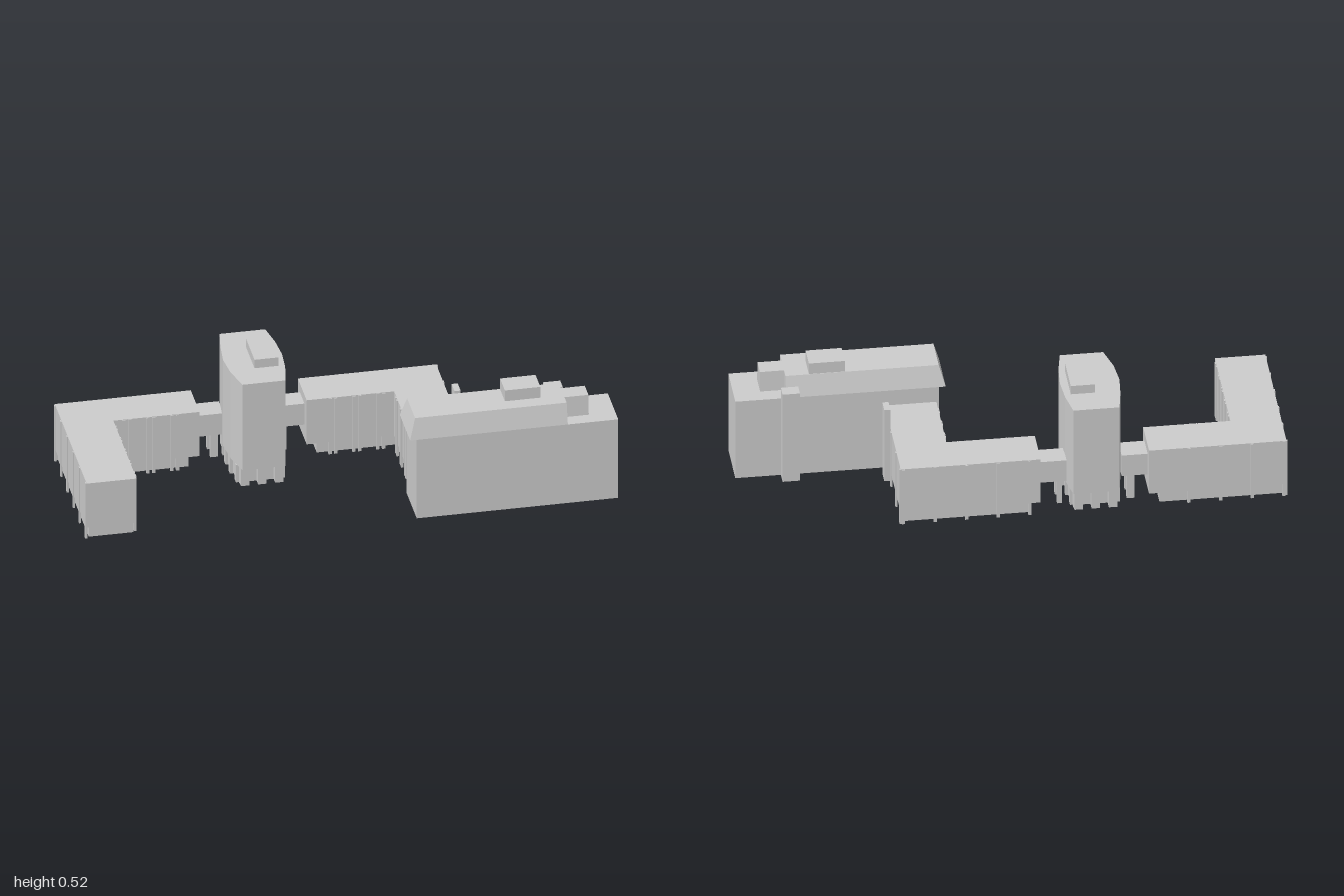
import * as THREE from 'three';

const mat = new THREE.MeshStandardMaterial({ color: 0xcccccc, flatShading: true, side: THREE.DoubleSide });

function add(parent, name, geometry) {
  const mesh = new THREE.Mesh(geometry, mat);
  mesh.name = name;
  parent.add(mesh);
  return mesh;
}

// Box given by its limits on each axis
function box(parent, name, x0, x1, y0, y1, z0, z1) {
  const mesh = add(parent, name, new THREE.BoxGeometry(x1 - x0, y1 - y0, z1 - z0));
  mesh.position.set((x0 + x1) / 2, (y0 + y1) / 2, (z0 + z1) / 2);
}

const rect = (x0, x1, z0, z1) => [[x0, z0], [x1, z0], [x1, z1], [x0, z1]];

// Walls between two plan outlines of [x, z] corners
function walls(parent, name, low, high, y0, y1) {
  const v = [];
  low.forEach((a, i) => {
    const j = (i + 1) % low.length, b = low[j], c = high[j], d = high[i];
    v.push(a[0], y0, a[1], c[0], y1, c[1], b[0], y0, b[1]);
    v.push(a[0], y0, a[1], d[0], y1, d[1], c[0], y1, c[1]);
  });
  const geo = new THREE.BufferGeometry();
  geo.setAttribute('position', new THREE.Float32BufferAttribute(v, 3));
  geo.computeVertexNormals();
  add(parent, name, geo);
}

// Flat slab outline, optionally with a hole, facing up or down
function plate(parent, name, outline, y, up, hole) {
  const toV = (p) => new THREE.Vector2(p[0], up ? -p[1] : p[1]);
  const shape = new THREE.Shape(outline.map(toV));
  if (hole) shape.holes.push(new THREE.Path(hole.map(toV)));
  const geo = new THREE.ShapeGeometry(shape);
  geo.rotateX(up ? -Math.PI / 2 : Math.PI / 2);
  add(parent, name, geo).position.y = y;
}

function taperedBlock(parent, name, low, high, y0, y1) {
  walls(parent, name + 'Sides', low, high, y0, y1);
  plate(parent, name + 'Top', high, y1, true);
  plate(parent, name + 'Underside', low, y0, false);
}

// Upper storeys over a set-back ground floor, open underneath
function building(parent, name, outer, inner, yBottom, yLedge, yTop) {
  walls(parent, name + 'UpperWalls', outer, outer, yLedge, yTop);
  plate(parent, name + 'Roof', outer, yTop, true);
  plate(parent, name + 'Ledge', outer, yLedge, false, inner);
  walls(parent, name + 'GroundFloor', inner, inner, yBottom, yLedge);
}

// L-shaped wing: x0 is the outer side, x1 the end beside the tower
function wing(name, { x0, x1, xa, zb, zf, za, outerRibs }) {
  const g = new THREE.Group();
  g.name = name;
  const s = Math.sign(x1 - x0);
  const outline = (i, end) => {
    const p = [[x0 + s * i, zb + i], [x1 - s * end, zb + i], [x1 - s * end, zf - i],
      [xa - s * i, zf - i], [xa - s * i, za - i], [x0 + s * i, za - i]];
    return s < 0 ? p.reverse() : p;
  };
  building(g, 'wing', outline(0, 0), outline(0.01, 0.04), 0.038, 0.083, 0.272);

  // Vertical ribs that run down as slim columns
  const w = 0.006, t = 0.004;
  const rib = (x, z, hx, hz, top = 0.27) => box(g, 'rib', x - hx, x + hx, 0.033, top, z - hz, z + hz);
  outerRibs.forEach((z) => rib(x0, z, t, w));
  const length = Math.abs(x1 - x0);
  for (let d = 0.01; d < length - 0.04; d += 0.118) rib(x0 + s * d, zb, w, t);
  // Paired ribs on the courtyard faces
  for (let z = zf + 0.04; z < za - 0.02; z += 0.085) {
    rib(xa, z, t, w);
    rib(xa, z + 0.022, t, w);
  }
  for (let d = Math.abs(xa - x0) + 0.04; d < length - 0.05; d += 0.09) {
    rib(x0 + s * d, zf, w, t);
    rib(x0 + s * (d + 0.022), zf, w, t);
  }
  return g;
}

function createTower() {
  const g = new THREE.Group();
  g.name = 'tower';
  const outer = [[-0.372, -0.325], [-0.2, -0.325], [-0.182, -0.23], [-0.175, -0.135], [-0.182, -0.04],
    [-0.2, 0.057], [-0.362, 0.057], [-0.388, -0.04], [-0.397, -0.135], [-0.388, -0.23]];
  // Ground floor with a stepped front and back
  const inner = [];
  const steps = 5, xl = -0.365, xr = -0.205, dx = (xr - xl) / steps;
  for (let i = 0; i < steps; i++) {
    const z = i % 2 ? -0.285 : -0.318;
    inner.push([xl + i * dx, z], [xl + (i + 1) * dx, z]);
  }
  inner.push([-0.188, -0.135]);
  for (let i = steps - 1; i >= 0; i--) {
    const z = i % 2 ? 0.015 : 0.045;
    inner.push([xl + (i + 1) * dx, z], [xl + i * dx, z]);
  }
  inner.push([-0.382, -0.135]);
  building(g, 'tower', outer, inner, 0.046, 0.12, 0.487);
  box(g, 'roofPlant', -0.295, -0.205, 0.487, 0.523, -0.213, -0.053);
  // Slim columns along the sides
  for (let i = 0; i < 5; i++) {
    const z = -0.27 + i * 0.068, bulge = 0.012 * (1 - ((z + 0.135) / 0.135) ** 2);
    for (const x of [-0.373 - bulge, -0.199 + bulge]) {
      box(g, 'column', x - 0.006, x + 0.006, 0.046, 0.12, z - 0.012, z + 0.012);
    }
  }
  return g;
}

function createLinks() {
  const g = new THREE.Group();
  g.name = 'linkBridges';
  box(g, 'leftSpan', -0.485, -0.388, 0.145, 0.235, -0.265, -0.175);
  box(g, 'rightSpan', -0.182, -0.08, 0.145, 0.235, -0.27, -0.185);
  for (const z of [-0.255, -0.195]) {
    box(g, 'bridgePost', -0.435, -0.407, 0.046, 0.145, z - 0.01, z + 0.01);
    box(g, 'bridgePost', -0.165, -0.147, 0.046, 0.145, z - 0.01, z + 0.01);
  }
  return g;
}

function createHall() {
  const g = new THREE.Group();
  g.name = 'hall';
  box(g, 'hallBody', 0.24, 1, 0, 0.336, 0.133, 0.327);
  taperedBlock(g, 'slopedRoof', rect(0.215, 0.81, 0.133, 0.327), rect(0.238, 0.81, 0.158, 0.305), 0.336, 0.417);
  taperedBlock(g, 'roofEnd', rect(0.81, 0.9, 0.19, 0.272), rect(0.81, 0.9, 0.197, 0.265), 0.336, 0.417);
  box(g, 'roofPlant', 0.588, 0.722, 0.417, 0.463, 0.16, 0.25);
  box(g, 'stairShaft', 0.765, 0.83, 0, 0.383, 0.085, 0.133);
  return g;
}

export function createModel() {
  const model = new THREE.Group();
  model.name = 'buildingComplex';
  model.add(
    wing('rightWing', { x0: -0.998, x1: -0.485, xa: -0.81, zb: -0.302, zf: -0.14, za: 0.292,
      outerRibs: [-0.296, -0.18, -0.065, 0.05, 0.165, 0.28] }),
    wing('leftWing', { x0: 0.442, x1: -0.08, xa: 0.25, zb: -0.308, zf: -0.145, za: 0.133,
      outerRibs: [-0.303, -0.185, -0.047, 0.05] }),
    createTower(), createLinks(), createHall());
  box(model, 'chimney', 0.442, 0.465, 0.04, 0.352, -0.022, 0.032);
  return model;
}
